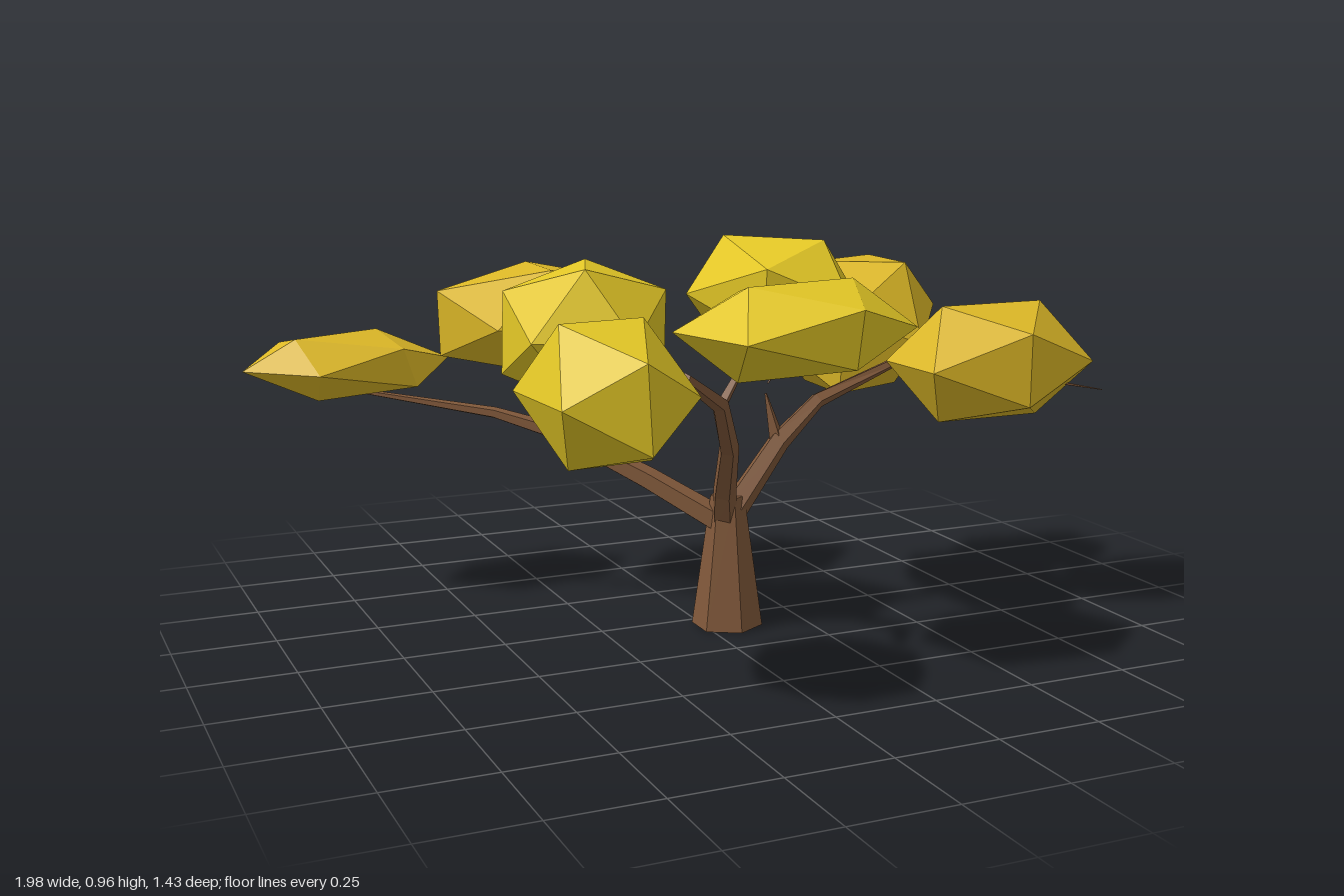
import * as THREE from 'three';

const V = (a) => new THREE.Vector3(...a);
const PHI = (1 + Math.sqrt(5)) / 2;

// Three corners of a regular icosahedron that lie along its outline, as columns, inverted
const OUTLINE_INVERSE = new THREE.Matrix4()
  .makeBasis(V([0, -1, PHI]), V([0, 1, PHI]), V([1, PHI, 0]))
  .invert();

const wood = new THREE.MeshStandardMaterial({ color: 0x80583a, flatShading: true });
const gold = new THREE.MeshStandardMaterial({ color: 0xddb827, flatShading: true });
const lemon = new THREE.MeshStandardMaterial({ color: 0xe2c626, flatShading: true });

// Leaf clump: an icosahedron stretched so three outline corners land on the given offsets
function clump(name, material, centre, u1, u2, u3) {
  const m = new THREE.Matrix4().makeBasis(V(u1), V(u2), V(u3)).multiply(OUTLINE_INVERSE);
  const size = Math.sqrt(1 + PHI * PHI) * (m.determinant() < 0 ? -1 : 1);
  m.multiply(new THREE.Matrix4().makeScale(size, size, size));
  const geometry = new THREE.IcosahedronGeometry(1, 0).applyMatrix4(m);
  geometry.computeVertexNormals();
  const mesh = new THREE.Mesh(geometry, material);
  mesh.name = name;
  mesh.position.set(...centre);
  return mesh;
}

// Tapering limb: rows of a cylinder moved onto a path; each stop is [x, y, z, radius]
function limb(name, sides, stops) {
  const n = stops.length - 1;
  const points = stops.map((s) => V(s));
  const geometry = new THREE.CylinderGeometry(1, 1, 1, sides, n);
  const position = geometry.attributes.position;
  const up = new THREE.Vector3(0, 1, 0);
  const turns = points.map((p, i) => {
    const along = points[Math.min(i + 1, n)].clone().sub(points[Math.max(i - 1, 0)]).normalize();
    return new THREE.Quaternion().setFromUnitVectors(up, along);
  });
  const v = new THREE.Vector3();
  for (let k = 0; k < position.count; k++) {
    v.fromBufferAttribute(position, k);
    const i = Math.round((v.y + 0.5) * n);
    v.setY(0).multiplyScalar(stops[i][3]).applyQuaternion(turns[i]).add(points[i]);
    position.setXYZ(k, v.x, v.y, v.z);
  }
  geometry.computeVertexNormals();
  const mesh = new THREE.Mesh(geometry, wood);
  mesh.name = name;
  return mesh;
}

export function createModel() {
  const tree = new THREE.Group();
  tree.name = 'tree';

  // Trunk and branches
  tree.add(
    limb('trunk', 6, [[0.06, 0, 0.065, 0.088], [0.06, 0.33, 0.065, 0.042]]),
    limb('backRightBranch', 5, [
      [0.05, 0.26, 0.06, 0.035], [-0.1, 0.36, -0.06, 0.03], [-0.28, 0.465, -0.2, 0.023],
      [-0.42, 0.51, -0.3, 0.015], [-0.74, 0.555, -0.54, 0.005],
    ]),
    limb('frontBranch', 5, [
      [0.05, 0.27, 0.07, 0.035], [0.03, 0.35, 0.11, 0.03], [0, 0.48, 0.2, 0.025],
      [-0.07, 0.61, 0.3, 0.021], [-0.2, 0.695, 0.4, 0.014],
    ]),
    limb('leftBranch', 5, [
      [0.06, 0.27, 0.065, 0.036], [0.2, 0.455, 0.065, 0.028], [0.31, 0.55, 0.06, 0.02],
      [0.52, 0.63, 0.065, 0.013], [0.8, 0.6, 0.2, 0.007], [0.98, 0.57, 0.32, 0.001],
    ]),
    limb('upperSpur', 4, [[0.2, 0.44, 0.065, 0.023], [0.17, 0.575, 0.05, 0.003]]),
    limb('leftTwig', 4, [[0.2, 0.59, 0, 0.002], [0.3, 0.7, -0.03, 0.011], [0.42, 0.8, -0.08, 0.006]]),
    limb('frontTwig', 4, [[-0.07, 0.6, 0.3, 0.014], [0.02, 0.72, 0.27, 0.006]]),
  );

  // Leaf clumps
  tree.add(
    clump('backRightTipLeaves', gold, [-0.73, 0.615, -0.56],
      [-0.27, 0, 0.01], [-0.15, 0.05, -0.12], [0.105, 0, -0.16]),
    clump('backLeaves', gold, [-0.257, 0.73, -0.404],
      [-0.27, -0.083, 0], [-0.162, 0, -0.184], [0.175, 0, -0.185]),
    clump('rightLeaves', lemon, [-0.288, 0.75, 0],
      [-0.048, 0, -0.214], [0.178, 0, -0.136], [0.187, 0.099, 0.06]),
    clump('topLeaves', lemon, [0.187, 0.826, 0.035],
      [-0.062, 0, -0.305], [0.12, -0.083, -0.226], [0.208, 0, 0.04]),
    clump('backLeftLeaves', gold, [0.53, 0.705, -0.155],
      [-0.094, 0.038, -0.19], [0.11, -0.038, -0.152], [0.233, 0.038, 0.013]),
    clump('frontRightLeaves', lemon, [-0.425, 0.695, 0.5],
      [-0.008, -0.096, -0.214], [0.152, 0, -0.15], [0.168, 0, 0.115]),
    clump('frontLeaves', lemon, [0.035, 0.8, 0.473],
      [-0.059, -0.065, -0.203], [0.2, 0, -0.172], [0.267, 0, 0.072]),
    clump('leftLeaves', gold, [0.73, 0.64, 0.187],
      [-0.238, 0, -0.107], [-0.008, -0.09, -0.174], [0.23, 0, -0.11]),
  );
  return tree;
}
